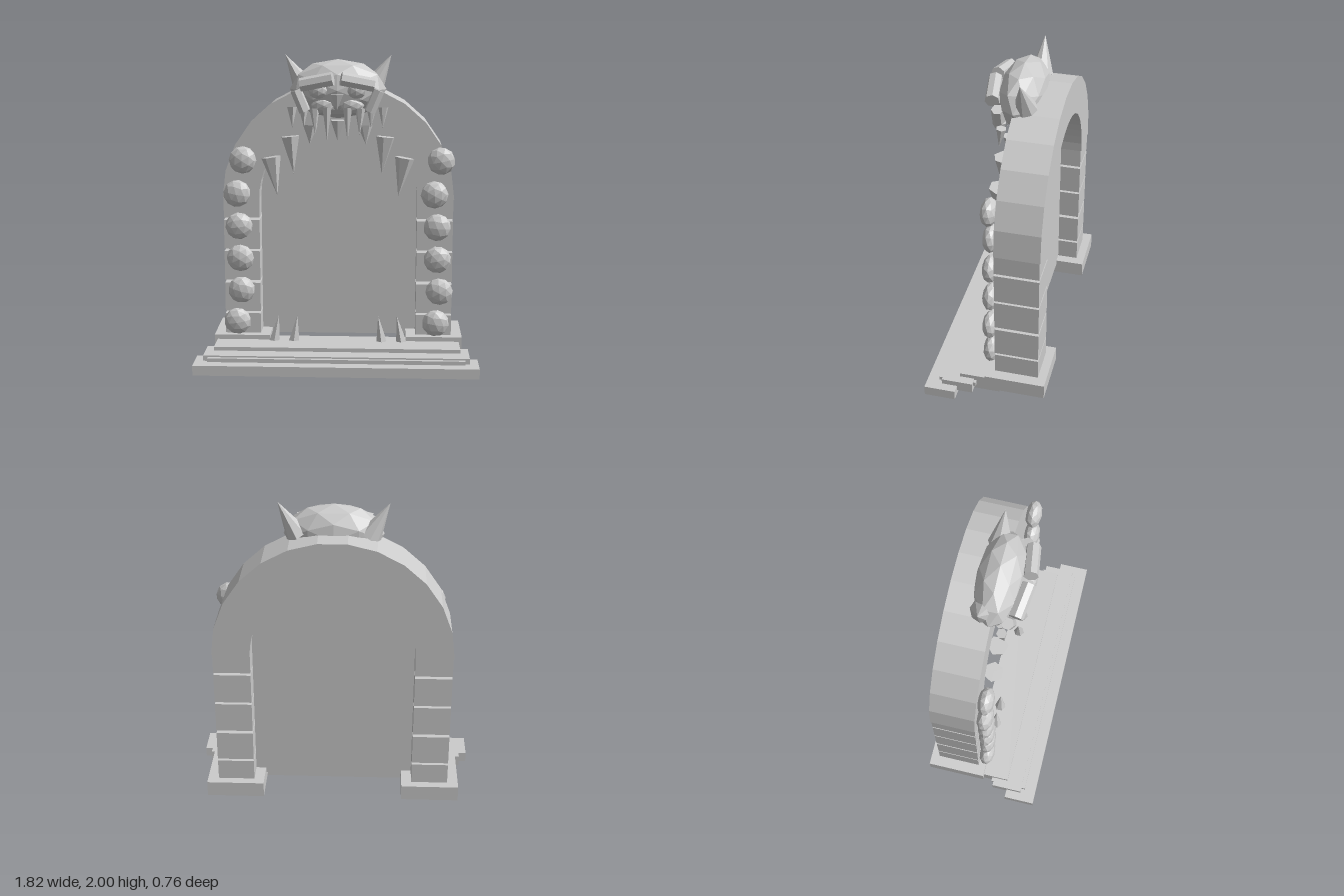
import * as THREE from 'three';

const mat = new THREE.MeshStandardMaterial({ color: 0xcccccc, flatShading: true });
const UP = new THREE.Vector3(0, 1, 0);

export function createModel() {
  const root = new THREE.Group();
  root.name = 'monsterGate';

  const add = (name, geometry, parent = root) => {
    const mesh = new THREE.Mesh(geometry, mat);
    mesh.name = name;
    parent.add(mesh);
    return mesh;
  };
  const group = (name) => {
    const g = new THREE.Group();
    g.name = name;
    root.add(g);
    return g;
  };
  // Box given by its extents
  const box = (name, x0, x1, y0, y1, z0, z1, parent) => {
    const m = add(name, new THREE.BoxGeometry(x1 - x0, y1 - y0, z1 - z0), parent);
    m.position.set((x0 + x1) / 2, (y0 + y1) / 2, (z0 + z1) / 2);
    return m;
  };
  // Cylinder or cone running from point a (radius ra) to point b (radius rb)
  const rod = (name, a, b, ra, rb, sides, parent) => {
    const from = new THREE.Vector3(...a), to = new THREE.Vector3(...b);
    const dir = to.clone().sub(from);
    const m = add(name, new THREE.CylinderGeometry(rb, ra, dir.length(), sides), parent);
    m.position.copy(from).add(to).multiplyScalar(0.5);
    m.quaternion.setFromUnitVectors(UP, dir.normalize());
    return m;
  };
  const spike = (name, a, b, r, sides, parent) => rod(name, a, b, r, 0, sides, parent);
  const rock = (name, p, s, parent, detail = 1) => {
    const m = add(name, new THREE.IcosahedronGeometry(1, detail), parent);
    m.position.set(...p);
    m.scale.set(...s);
    return m;
  };

  // Front steps
  const steps = group('steps');
  box('lowerStep', -0.91, 0.91, 0, 0.065, 0.18, 0.38, steps);
  box('middleStep', -0.855, 0.855, 0.03, 0.1, 0.08, 0.28, steps);
  box('stepLip', -0.825, 0.825, 0.06, 0.09, 0.065, 0.305, steps);
  box('upperStep', -0.8, 0.8, 0.025, 0.125, -0.085, 0.175, steps);

  // Arch ring of 13 straight facets, and the panel that fills the opening
  const arcY = 1.07, outer = 0.755, inner = 0.515, n = 13;
  const arcPoint = (r, i, count) => {
    const a = (i / count) * Math.PI;
    return new THREE.Vector2(Math.cos(a) * r, arcY + Math.sin(a) * r);
  };
  const ring = [];
  for (let i = 0; i <= n; i++) ring.push(arcPoint(outer, i, n));
  for (let i = 2 * n; i >= 0; i--) ring.push(arcPoint(inner, i, 2 * n));
  const archGeo = new THREE.ExtrudeGeometry(new THREE.Shape(ring), { depth: 0.285, bevelEnabled: false });
  add('arch', archGeo).position.z = -0.33;

  const door = [new THREE.Vector2(-inner, 0.12), new THREE.Vector2(inner, 0.12)];
  for (let i = 0; i <= 2 * n; i++) door.push(arcPoint(inner, i, 2 * n));
  const doorGeo = new THREE.ExtrudeGeometry(new THREE.Shape(door), { depth: 0.01, bevelEnabled: false });
  add('doorPanel', doorGeo).position.z = -0.19;

  // Pier blocks, plinths and boulders
  const courses = [[0.15, 0.29], [0.305, 0.5], [0.52, 0.715], [0.73, 0.925], [0.942, 1.07]];
  const boulderY = [0.25, 0.465, 0.68, 0.895, 1.11, 1.33];
  const boulderX = { 1: [0.645, 0.665, 0.65, 0.645, 0.625, 0.665], '-1': [0.665, 0.635, 0.64, 0.645, 0.655, 0.615] };
  for (const s of [1, -1]) {
    const pier = group(s > 0 ? 'leftPier' : 'rightPier');
    const sideBox = (name, x0, x1, ...rest) =>
      box(name, s > 0 ? x0 : -x1, s > 0 ? x1 : -x0, ...rest, pier);
    sideBox('plinth', 0.45, 0.82, 0.055, 0.155, -0.38, 0.005);
    for (const [y0, y1] of courses) sideBox('pierBlock', 0.515, 0.75, y0, y1, -0.325, -0.045);
    boulderY.forEach((y, i) => {
      const b = rock('boulder', [s * boulderX[s][i], y, 0], [0.09, 0.09, 0.053], pier);
      b.rotation.z = i * 0.7 + s * 0.4;
    });
  }

  // Monster head over the arch
  const head = group('head');
  rock('skull', [0, 1.785, -0.055], [0.31, 0.19, 0.148], head);
  spike('nose', [0, 1.765, 0.105], [0, 1.665, 0.11], 0.045, 6, head);
  spike('middleTooth', [0, 1.59, 0.0], [0, 1.455, 0.0], 0.05, 6, head);

  for (const s of [1, -1]) {
    spike('ear', [s * 0.22, 1.79, -0.11], [s * 0.34, 2.0, -0.105], 0.075, 8, head);
    rod('brow', [s * 0.23, 1.82, 0.09], [s * 0.025, 1.862, 0.12], 0.045, 0.045, 7, head);
    rod('cheek', [s * 0.262, 1.785, 0.05], [s * 0.205, 1.65, 0.055], 0.038, 0.038, 6, head);
    rock('eye', [s * 0.12, 1.785, 0.06], [0.065, 0.055, 0.045], head);
    rock('muzzle', [s * 0.085, 1.69, 0.03], [0.085, 0.06, 0.055], head);

    // Upper jaw teeth: base x, base y, tip x, tip y, z, radius
    const jaw = [
      [0.065, 1.675, 0.065, 1.465, 0.07, 0.033],
      [0.145, 1.67, 0.14, 1.5, 0.06, 0.033],
      [0.215, 1.675, 0.213, 1.55, 0.05, 0.033],
      [0.29, 1.675, 0.288, 1.545, 0.03, 0.033],
      [0.175, 1.555, 0.18, 1.435, 0.0, 0.048],
    ];
    for (const [bx, by, tx, ty, z, r] of jaw)
      spike('jawTooth', [s * bx, by, z - 0.01], [s * tx, ty, z + 0.005], r, 6, head);

    // Large fangs along the opening
    spike('archFang', [s * 0.305, 1.485, 0], [s * 0.283, 1.245, 0.01], 0.063, 6);
    spike('archFang', [s * 0.43, 1.35, 0], [s * 0.39, 1.1, 0.01], 0.063, 6);

    // Fangs rising from the threshold
    spike('floorFang', [s * 0.29, 0.12, 0], [s * 0.267, 0.295, 0], 0.038, 6);
    spike('floorFang', [s * 0.42, 0.12, 0], [s * 0.39, 0.295, 0], 0.038, 6);
  }
  return root;
}
